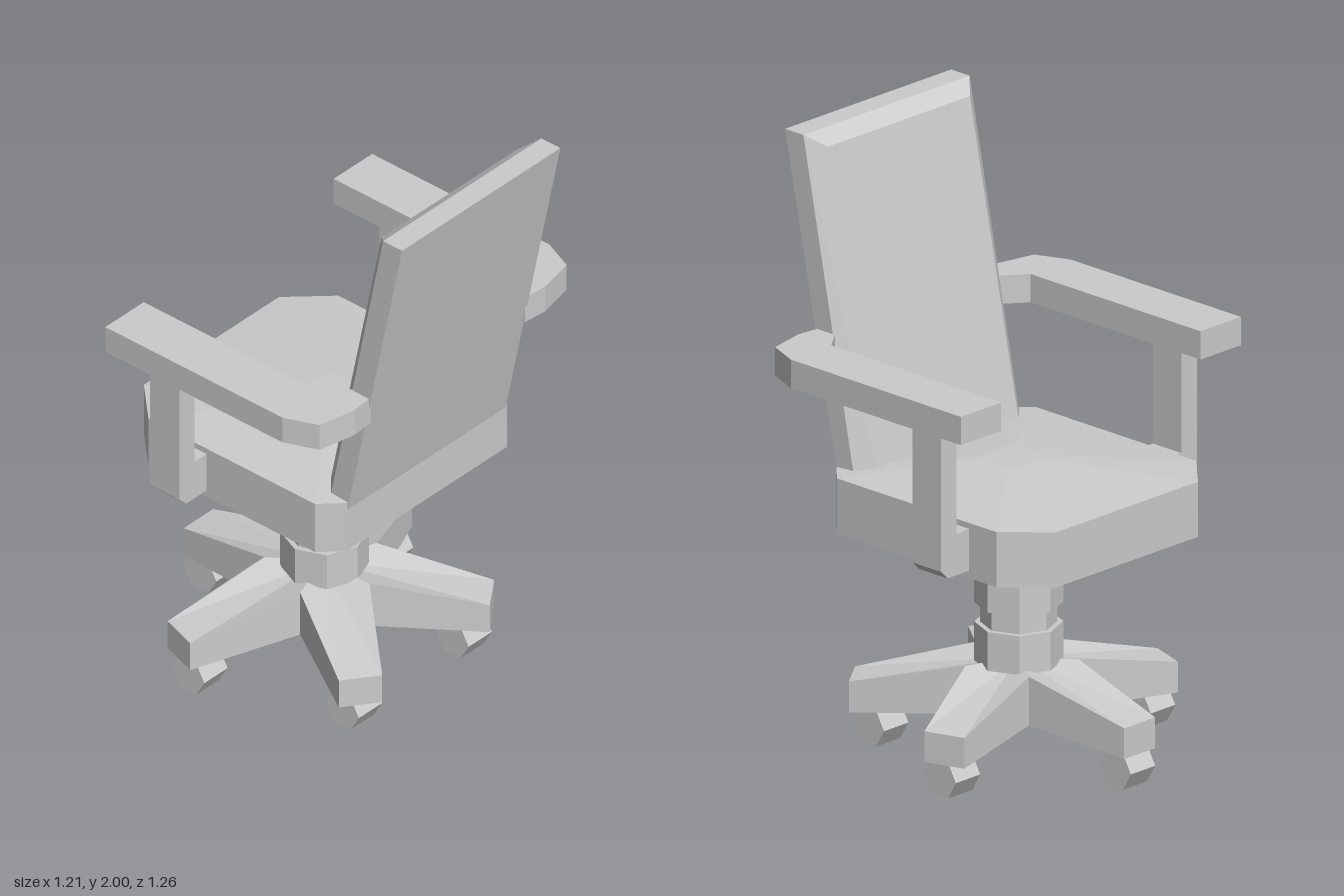
import * as THREE from 'three';

const material = new THREE.MeshStandardMaterial({ color: 0xcccccc, flatShading: true });
const CX = -0.06; // axis of the column and star base

function add(parent, name, geometry, x = 0, y = 0, z = 0) {
  const mesh = new THREE.Mesh(geometry, material);
  mesh.name = name;
  mesh.position.set(x, y, z);
  parent.add(mesh);
  return mesh;
}

// Skins a stack of rings (counterclockwise seen from the last one) and closes both ends.
function loft(rings, startCentre, endCentre) {
  const pos = [];
  const tri = (...points) => points.forEach((p) => pos.push(...p));
  const n = rings[0].length;
  const last = rings[rings.length - 1];
  for (let i = 0; i < n; i++) {
    const j = (i + 1) % n;
    for (let k = 0; k < rings.length - 1; k++) {
      const lo = rings[k], hi = rings[k + 1];
      tri(lo[i], lo[j], hi[j]);
      tri(lo[i], hi[j], hi[i]);
    }
    tri(rings[0][j], rings[0][i], startCentre);
    tri(last[i], last[j], endCentre);
  }
  const geometry = new THREE.BufferGeometry();
  geometry.setAttribute('position', new THREE.Float32BufferAttribute(pos, 3));
  geometry.computeVertexNormals();
  return geometry;
}

function extrude(points, depth) {
  const shape = new THREE.Shape(points.map(([x, y]) => new THREE.Vector2(x, y)));
  return new THREE.ExtrudeGeometry(shape, { depth, bevelEnabled: false });
}

export function createModel() {
  const chair = new THREE.Group();
  chair.name = 'officeChair';

  // Seat: chamfered slab with a shallow raised top
  const outline = [[0.37, 0.38], [0.37, -0.38], [0.3, -0.45], [-0.4, -0.45],
    [-0.535, -0.32], [-0.535, 0.32], [-0.4, 0.45], [0.3, 0.45]];
  const seatRing = (y, s) => outline.map(([x, z]) => [-0.02 + (x + 0.02) * s, y, z * s]);
  add(chair, 'seat', loft([seatRing(0.74, 1), seatRing(0.925, 1), seatRing(0.963, 0.18)],
    [-0.02, 0.74, 0], [-0.02, 0.963, 0]));

  // Leaning backrest with a bevelled front
  const panel = (x0, y0, x1, y1, z) => [[x0, y0, -z], [x0, y0, z], [x1, y1, z], [x1, y1, -z]];
  add(chair, 'backrest', loft([
    panel(0.37, 0.895, 0.6, 2, 0.375),
    panel(0.295, 0.895, 0.52, 2, 0.375),
    panel(0.25, 0.925, 0.465, 1.96, 0.32),
  ], [0.485, 1.4475, 0], [0.3575, 1.4425, 0]));

  // Armrests curving in to the backrest, each on a bent bracket
  for (const side of [1, -1]) {
    const arm = new THREE.Group();
    arm.name = side > 0 ? 'leftArm' : 'rightArm';
    chair.add(arm);
    const pad = [[-0.42, 0.45], [0.325, 0.45], [0.39, 0.365], [0.46, 0.365],
      [0.468, 0.45], [0.44, 0.585], [0.325, 0.632], [-0.42, 0.632]];
    add(arm, 'armPad', extrude(pad.map(([x, z]) => [x, -z * side]), 0.095).rotateX(-Math.PI / 2), 0, 1.27, 0);
    const bracket = [[0.43, 0.765], [0.548, 0.765], [0.578, 0.795], [0.578, 1.28],
      [0.508, 1.28], [0.508, 0.905], [0.43, 0.905]];
    add(arm, 'armBracket', extrude(bracket.map(([z, y]) => [z * side, y]), 0.125).rotateY(-Math.PI / 2), -0.155, 0, 0);
  }

  // Octagonal column in three steps
  const steps = [['columnFoot', 0.14, 0.29, 0.42], ['columnCollar', 0.122, 0.42, 0.485], ['columnSleeve', 0.14, 0.485, 0.745]];
  for (const [name, r, y0, y1] of steps) {
    add(chair, name, new THREE.CylinderGeometry(r, r, y1 - y0, 8), CX, (y0 + y1) / 2, 0);
  }

  // Five-legged star: a notch, then the two corners of a leg end
  const starRing = (hubY, endY) => {
    const ring = [];
    for (let i = 0; i < 5; i++) {
      const at = (angle, along, across) => [
        CX + along * Math.cos(angle) - across * Math.sin(angle), 0,
        -(along * Math.sin(angle) + across * Math.cos(angle))];
      const a = (i * 2 * Math.PI) / 5;
      const leg = a + Math.PI / 5;
      const corners = [at(a, 0.19, 0), at(leg, 0.53, -0.07), at(leg, 0.53, 0.07)];
      corners.forEach((p, k) => { p[1] = k ? endY : hubY; ring.push(p); });
    }
    return ring;
  };
  add(chair, 'starBase', loft([starRing(0.14, 0.112), starRing(0.302, 0.215)], [CX, 0.14, 0], [CX, 0.302, 0]));

  // Hexagonal casters, all rolling the same way
  const casterShape = new THREE.CylinderGeometry(0.07, 0.07, 0.11, 6, 1, false, Math.PI / 2).rotateX(Math.PI / 2);
  for (const [x, z] of [[-0.535, 0], [-0.195, 0.44], [-0.195, -0.44], [0.295, 0.26], [0.295, -0.26]]) {
    add(chair, 'caster', casterShape, x, 0.0606, z);
  }
  return chair;
}
